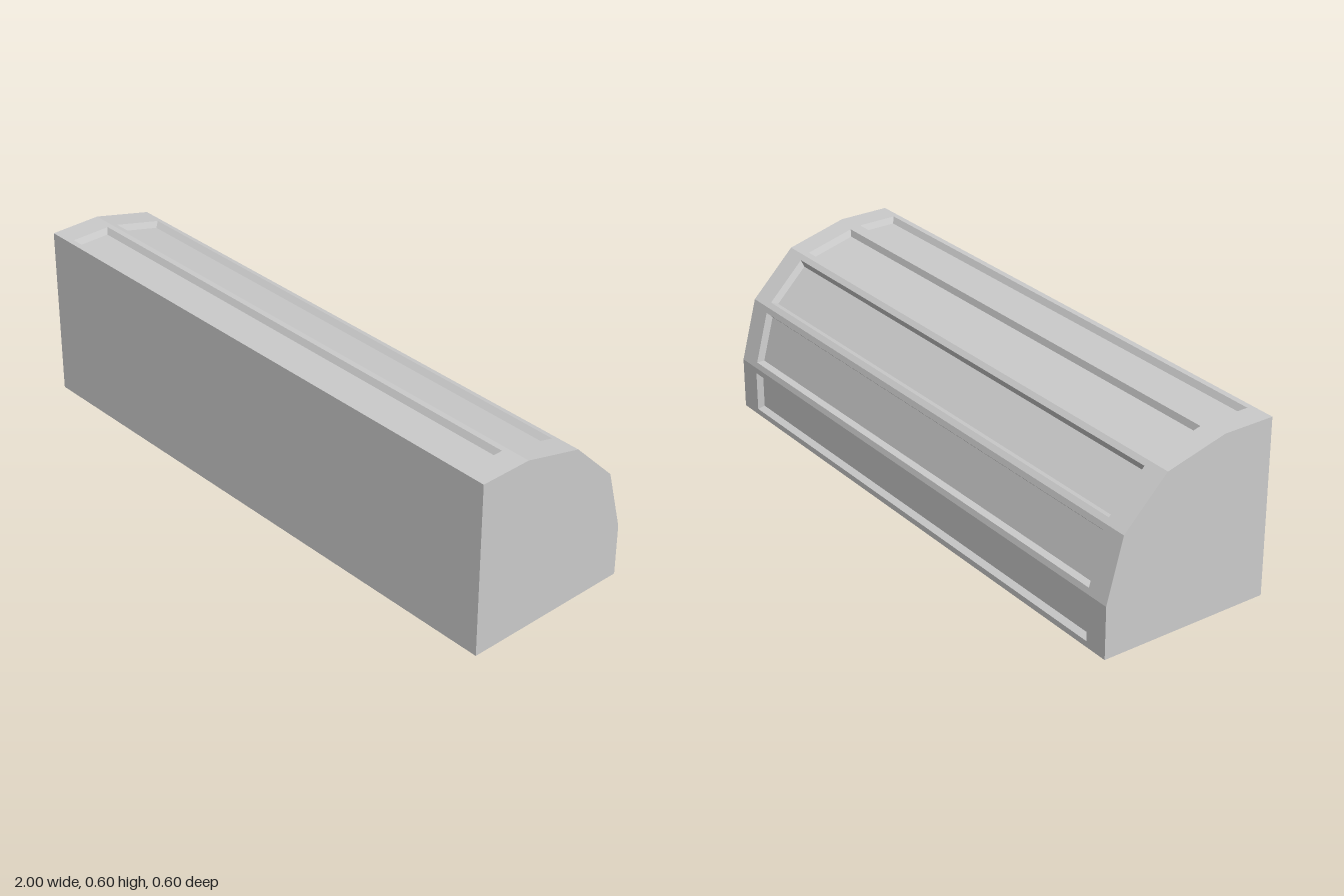
import * as THREE from 'three';

const HALF = 1;          // half length along x
const PANEL_X = 0.915;   // half length of each recessed panel
const MARGIN = 0.02;     // frame left between panel and facet edge
const BEVEL = 0.011;     // width of the sloped recess wall
const DEPTH = 0.02;      // recess depth

// Cross-section as [z, y], from the front foot over the top to the back foot
const PROFILE = [
  [0.3, 0], [0.3, 0.6], [0.12, 0.6], [-0.09, 0.545],
  [-0.243, 0.391], [-0.3, 0.178], [-0.3, 0],
].map(([z, y]) => new THREE.Vector3(0, y, z));

const material = new THREE.MeshStandardMaterial({ color: 0xcccccc, flatShading: true });

// Mesh from convex polygons, corners counter-clockwise seen from outside
function polygonMesh(name, polygons) {
  const points = [];
  for (const p of polygons) {
    for (let i = 1; i < p.length - 1; i++) points.push(p[0], p[i], p[i + 1]);
  }
  const geometry = new THREE.BufferGeometry().setFromPoints(points);
  geometry.computeVertexNormals();
  const mesh = new THREE.Mesh(geometry, material);
  mesh.name = name;
  return mesh;
}

// Rectangle on the facet a-b: half length in x, inset from both edges, sunk inwards
function facetRect(a, b, halfX, inset, sink) {
  const t = b.clone().sub(a).normalize();
  const n = new THREE.Vector3(1, 0, 0).cross(t);
  const p = a.clone().addScaledVector(t, inset).addScaledVector(n, -sink);
  const q = b.clone().addScaledVector(t, -inset).addScaledVector(n, -sink);
  return [p.clone().setX(-halfX), p.clone().setX(halfX), q.clone().setX(halfX), q.clone().setX(-halfX)];
}

// Four quads joining two nested rectangles
function ring(outer, inner) {
  return outer.map((o, i) => {
    const j = (i + 1) % 4;
    return [o, outer[j], inner[j], inner[i]];
  });
}

export function createModel() {
  const group = new THREE.Group();
  group.name = 'facetedBlock';

  // Plain front and bottom
  const last = PROFILE.length - 1;
  group.add(polygonMesh('front', [facetRect(PROFILE[0], PROFILE[1], HALF, 0, 0)]));
  group.add(polygonMesh('bottom', [facetRect(PROFILE[last], PROFILE[0], HALF, 0, 0)]));

  // Flat ends
  const end = (x) => PROFILE.map((p) => p.clone().setX(x));
  group.add(polygonMesh('rightEnd', [end(-HALF)]));
  group.add(polygonMesh('leftEnd', [end(HALF).reverse()]));

  // Framed facets over the top and down the back, each with a sunken panel
  for (let i = 1; i < last; i++) {
    const a = PROFILE[i], b = PROFILE[i + 1];
    const edge = facetRect(a, b, HALF, 0, 0);
    const rim = facetRect(a, b, PANEL_X, MARGIN, 0);
    const floor = facetRect(a, b, PANEL_X - BEVEL, MARGIN + BEVEL, DEPTH);
    const facet = new THREE.Group();
    facet.name = `facet${i}`;
    facet.add(
      polygonMesh('frame', ring(edge, rim)),
      polygonMesh('recessWalls', ring(rim, floor)),
      polygonMesh('panel', [floor]),
    );
    group.add(facet);
  }
  return group;
}
